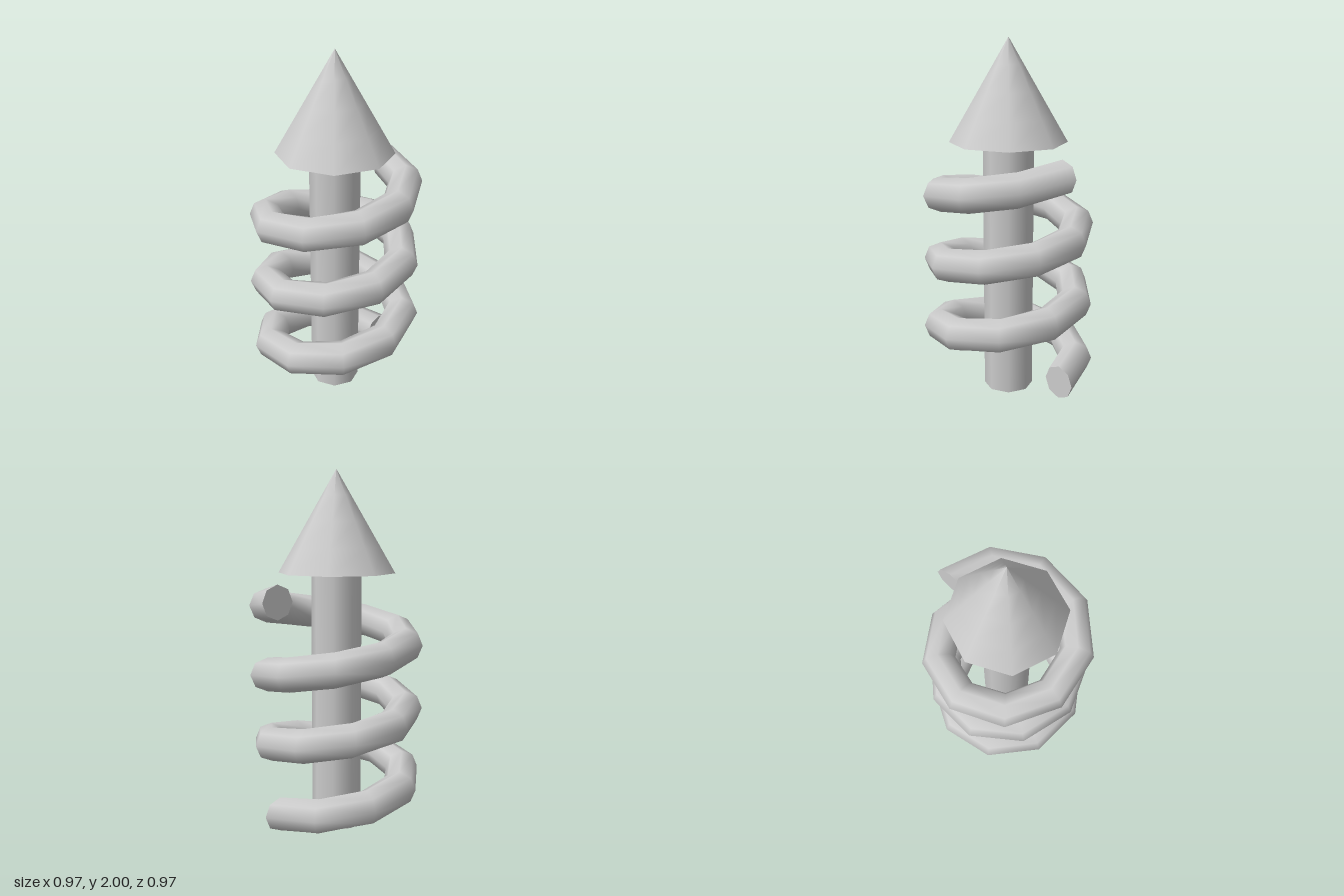
import * as THREE from 'three';

const SIDES = 8;
const TURNS = 3, STEPS = 28;
const COIL_RADIUS = 0.39, WIRE_RADIUS = 0.095;
const COIL_START = 0.135, COIL_END = 1.3;

// Octagonal section swept upward around the y axis like a screw
function coilGeometry() {
  const positions = [], index = [];
  for (let i = 0; i <= STEPS; i++) {
    const a = (i / STEPS) * TURNS * Math.PI * 2;
    const y = THREE.MathUtils.lerp(COIL_START, COIL_END, i / STEPS);
    for (let j = 0; j < SIDES; j++) {
      const b = (j / SIDES) * Math.PI * 2;
      const r = COIL_RADIUS + WIRE_RADIUS * Math.cos(b);
      positions.push(r * Math.cos(a), y + WIRE_RADIUS * Math.sin(b), -r * Math.sin(a));
      if (i === STEPS) continue;
      const k = (j + 1) % SIDES;
      const p = i * SIDES + j, q = i * SIDES + k;
      index.push(p, p + SIDES, q, p + SIDES, q + SIDES, q);
    }
  }
  const geometry = new THREE.BufferGeometry();
  geometry.setAttribute('position', new THREE.Float32BufferAttribute(positions, 3));
  geometry.setIndex(index);
  geometry.computeVertexNormals();
  return geometry;
}

export function createModel() {
  const model = new THREE.Group();
  model.name = 'coiledArrow';
  const material = new THREE.MeshStandardMaterial({ color: 0xcccccc });

  function add(name, geometry, parent = model) {
    const mesh = new THREE.Mesh(geometry, material);
    mesh.name = name;
    parent.add(mesh);
    return mesh;
  }

  // Straight arrow through the middle
  add('shaft', new THREE.CylinderGeometry(0.14, 0.14, 1.44, SIDES)).position.y = 0.72;
  add('arrowHead', new THREE.ConeGeometry(0.325, 0.56, SIDES, 4)).position.y = 1.72;

  // Spring around the shaft, with flat ends
  const spring = new THREE.Group();
  spring.name = 'spring';
  model.add(spring);
  add('coil', coilGeometry(), spring);
  const cap = new THREE.CircleGeometry(WIRE_RADIUS, SIDES);
  add('lowerCoilEnd', cap, spring).position.set(COIL_RADIUS, COIL_START, 0);
  const upperEnd = add('upperCoilEnd', cap, spring);
  upperEnd.position.set(COIL_RADIUS, COIL_END, 0);
  upperEnd.rotation.y = Math.PI;

  return model;
}
